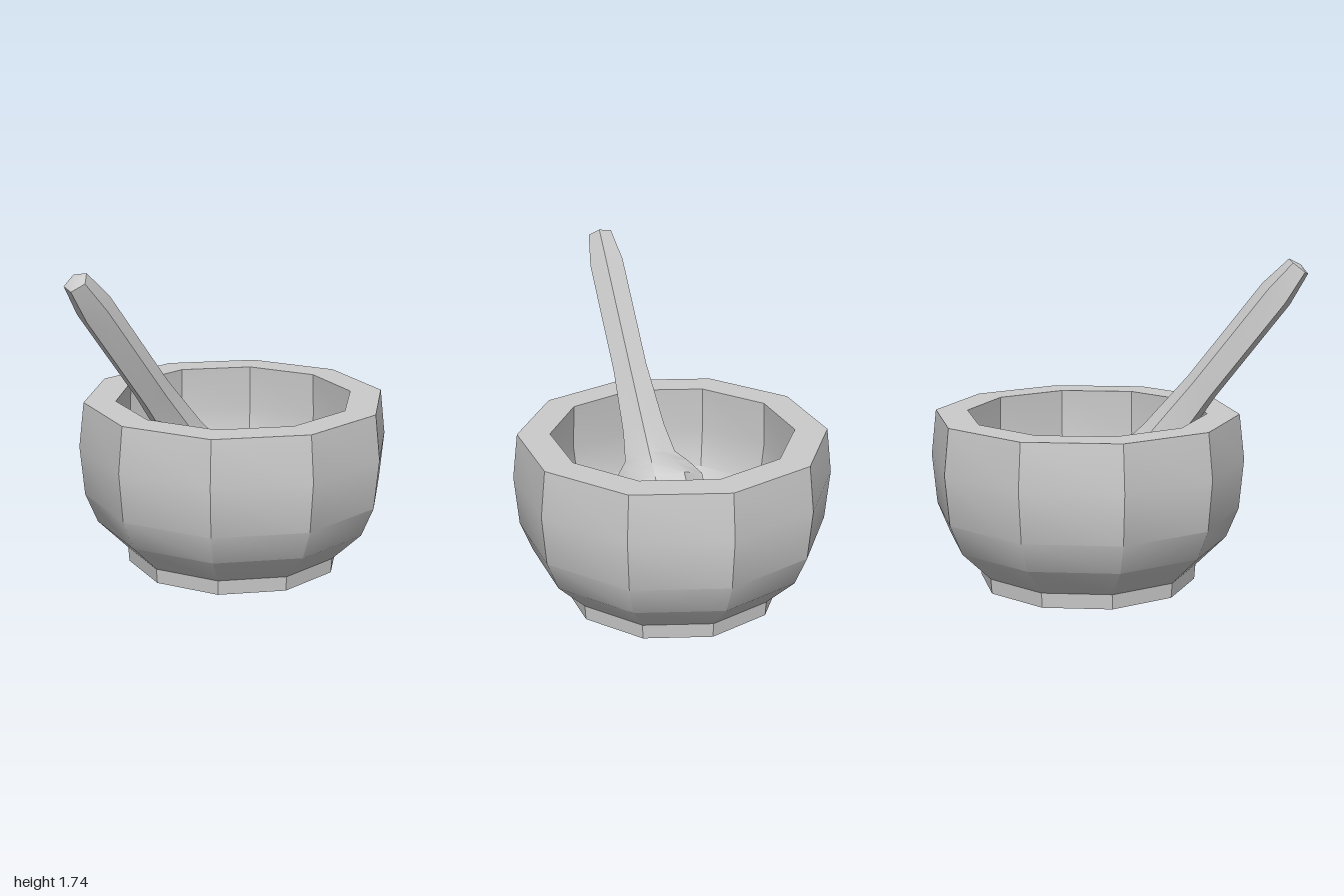
import * as THREE from 'three';
import { toCreasedNormals } from 'three/addons/utils/BufferGeometryUtils.js';

const CREASE = 0.6;
const material = new THREE.MeshStandardMaterial({ color: 0xcccccc });

// Ten-sided bowl: foot, belly, thick rim, hollow inside
function makeBowl() {
  const profile = [
    [0, 0], [0.583, 0], [0.589, 0.08], [0.752, 0.24], [0.818, 0.4],
    [0.843, 0.67], [0.815, 0.915], [0.643, 0.915],
    [0.652, 0.67], [0.625, 0.45], [0.52, 0.29], [0.288, 0.165], [0, 0.165],
  ].map(([r, y]) => new THREE.Vector2(r, y));
  const bowl = new THREE.Mesh(toCreasedNormals(new THREE.LatheGeometry(profile, 10), CREASE), material);
  bowl.name = 'bowl';
  bowl.position.z = -0.157;
  return bowl;
}

// Pestle: ten-sided bulb that blends into a five-sided handle
function makePestle() {
  const SIDES = 10;
  const flat = Math.cos(Math.PI / 5);
  // [distance along axis, radius, 0 = decagon .. 1 = pentagon]
  const rings = [
    [-0.24, 0, 0], [-0.225, 0.14, 0], [-0.115, 0.267, 0], [0.1, 0.267, 0],
    [0.19, 0.205, 0.3], [0.26, 0.145, 0.8], [0.42, 0.12, 1], [0.78, 0.097, 1],
    [1.405, 0.097, 1], [1.59, 0.067, 1], [1.605, 0, 1],
  ];
  const positions = [];
  const index = [];
  rings.forEach(([t, r, blend], i) => {
    for (let j = 0; j < SIDES; j++) {
      const a = (j / SIDES) * Math.PI * 2;
      const radius = j % 2 ? r * THREE.MathUtils.lerp(1, flat, blend) : r;
      positions.push(radius * Math.cos(a), t, radius * Math.sin(a));
      if (i === 0) continue;
      const k = (j + 1) % SIDES;
      const low = (i - 1) * SIDES;
      const high = i * SIDES;
      if (rings[i][1] > 0) index.push(low + j, high + j, high + k);
      if (rings[i - 1][1] > 0) index.push(low + j, high + k, low + k);
    }
  });
  const geometry = new THREE.BufferGeometry();
  geometry.setAttribute('position', new THREE.Float32BufferAttribute(positions, 3));
  geometry.setIndex(index);
  const pestle = new THREE.Mesh(toCreasedNormals(geometry, CREASE), material);
  pestle.name = 'pestle';
  pestle.position.set(0.018, 0.44, -0.02);
  pestle.rotation.x = Math.atan2(0.61, 0.79);
  return pestle;
}

export function createModel() {
  const model = new THREE.Group();
  model.name = 'mortarAndPestle';
  model.add(makeBowl(), makePestle());
  return model;
}
